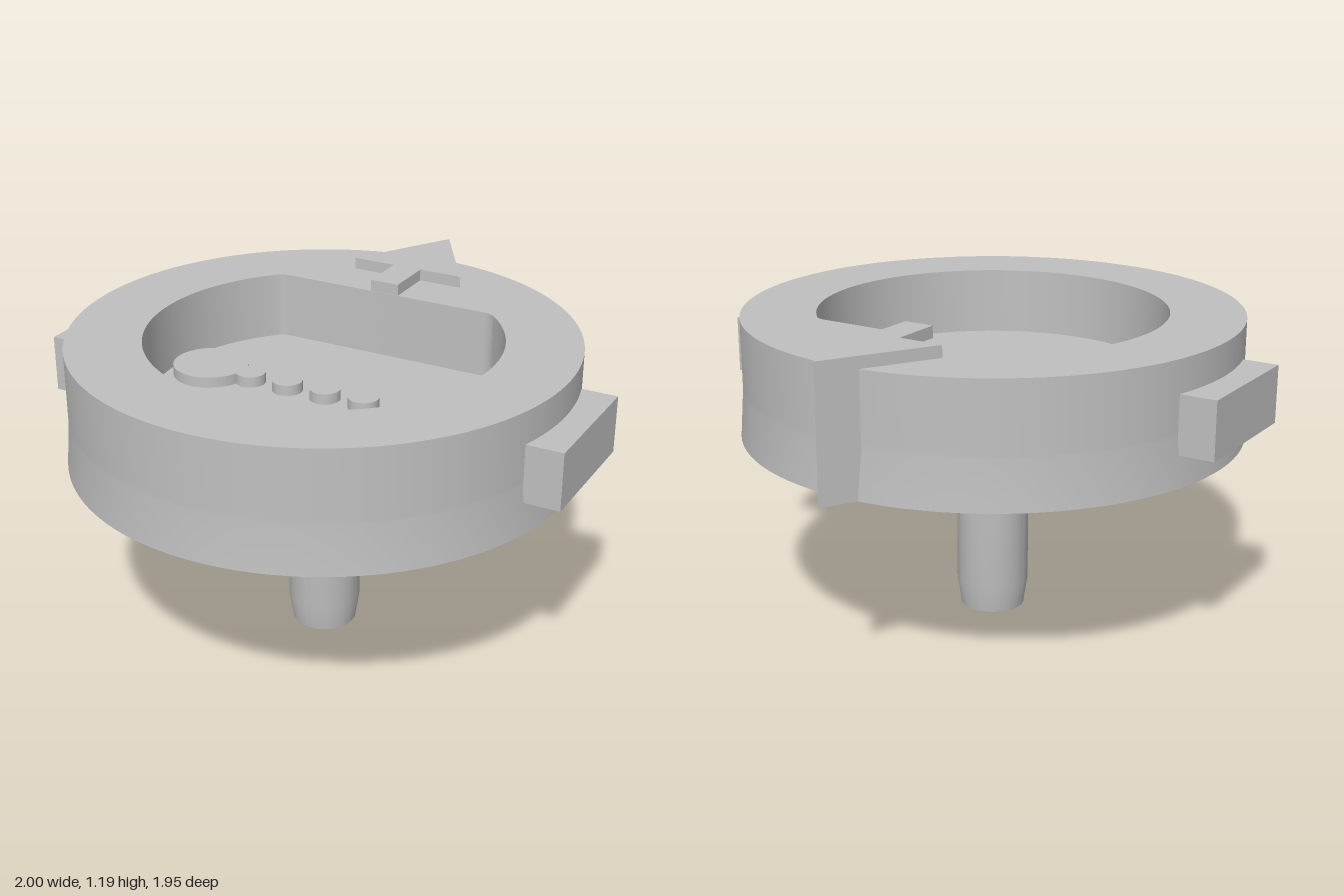
import * as THREE from 'three';
import { toCreasedNormals } from 'three/addons/utils/BufferGeometryUtils.js';

const BOTTOM = 0.705, FLOOR = 0.895, TOP = 1.143, ARROW_TOP = 1.186;
const R_TOP = 0.903, R_BOTTOM = 0.917, R_POCKET = 0.633;

export function createModel() {
  const model = new THREE.Group();
  // All parts share the disc's axis, which sits a little forward of centre
  const knob = new THREE.Group();
  knob.name = 'knob';
  knob.position.z = 0.057;
  model.add(knob);

  const grey = new THREE.MeshStandardMaterial({ color: 0xc0c0c0 });
  grey.name = 'plain grey';

  const add = (name, geometry) => {
    const mesh = new THREE.Mesh(geometry, grey);
    mesh.name = name;
    knob.add(mesh);
    return mesh;
  };
  const lathe = (points) => toCreasedNormals(
    new THREE.LatheGeometry(points.map(([r, y]) => new THREE.Vector2(r, y)), 96), 0.5);
  // Upright prism from a plan outline (shape y points to the back)
  const prism = (shape, y0, y1) => {
    const g = new THREE.ExtrudeGeometry(shape, { depth: y1 - y0, bevelEnabled: false, curveSegments: 96 });
    g.rotateX(-Math.PI / 2);
    g.translate(0, y0, 0);
    return toCreasedNormals(g, 0.5);
  };
  const outline = (points) => new THREE.Shape(points.map(([x, y]) => new THREE.Vector2(x, y)));

  // Lower disc with flared skirt; its top is the pocket floor
  add('base', lathe([[0, BOTTOM], [R_BOTTOM, BOTTOM], [R_TOP, 0.88], [R_TOP, FLOOR], [0, FLOOR]]));

  // Upper rim with a D-shaped pocket
  const rim = new THREE.Shape().absarc(0, 0, R_TOP, 0, Math.PI * 2, false);
  const a = 0.77;
  const pocket = new THREE.Path();
  pocket.moveTo(-0.4, 0.462);
  pocket.lineTo(0.4, 0.462);
  pocket.quadraticCurveTo(0.435, 0.462, R_POCKET * Math.cos(a), R_POCKET * Math.sin(a));
  pocket.absarc(0, 0, R_POCKET, a, Math.PI - a, true);
  pocket.quadraticCurveTo(-0.435, 0.462, -0.4, 0.462);
  rim.holes.push(pocket);
  add('rim', prism(rim, FLOOR, TOP));

  // Pin with tapered end
  add('pin', lathe([[0, 0], [0.118, 0], [0.133, 0.1], [0.133, BOTTOM + 0.01]]));

  // Pointer: deep triangular head and shallow stem
  add('pointerHead', prism(outline([[-0.222, 0.652], [0.222, 0.652], [0, 1.03]]), BOTTOM, ARROW_TOP));
  add('pointerStem', prism(outline([[-0.056, 0.464], [0.056, 0.464], [0.056, 0.66], [-0.056, 0.66]]), TOP - 0.02, ARROW_TOP));

  // Side lugs
  for (const side of [-1, 1]) {
    add(side > 0 ? 'leftLug' : 'rightLug', new THREE.BoxGeometry(0.25, 0.208, 0.495))
      .position.set(side * 0.875, 0.921, 0);
  }

  // Row of raised studs on the pocket floor
  const studs = [[-0.48, 0.14], [-0.31, 0.056], [-0.155, 0.056], [0, 0.056], [0.155, 0.056], [0.31, 0.056], [0.48, 0.14]];
  for (const [x, r] of studs) {
    add(r > 0.1 ? 'largeStud' : 'smallStud', new THREE.CylinderGeometry(r, r, 0.05, 40))
      .position.set(x, FLOOR + 0.015, -0.007);
  }
  return model;
}
